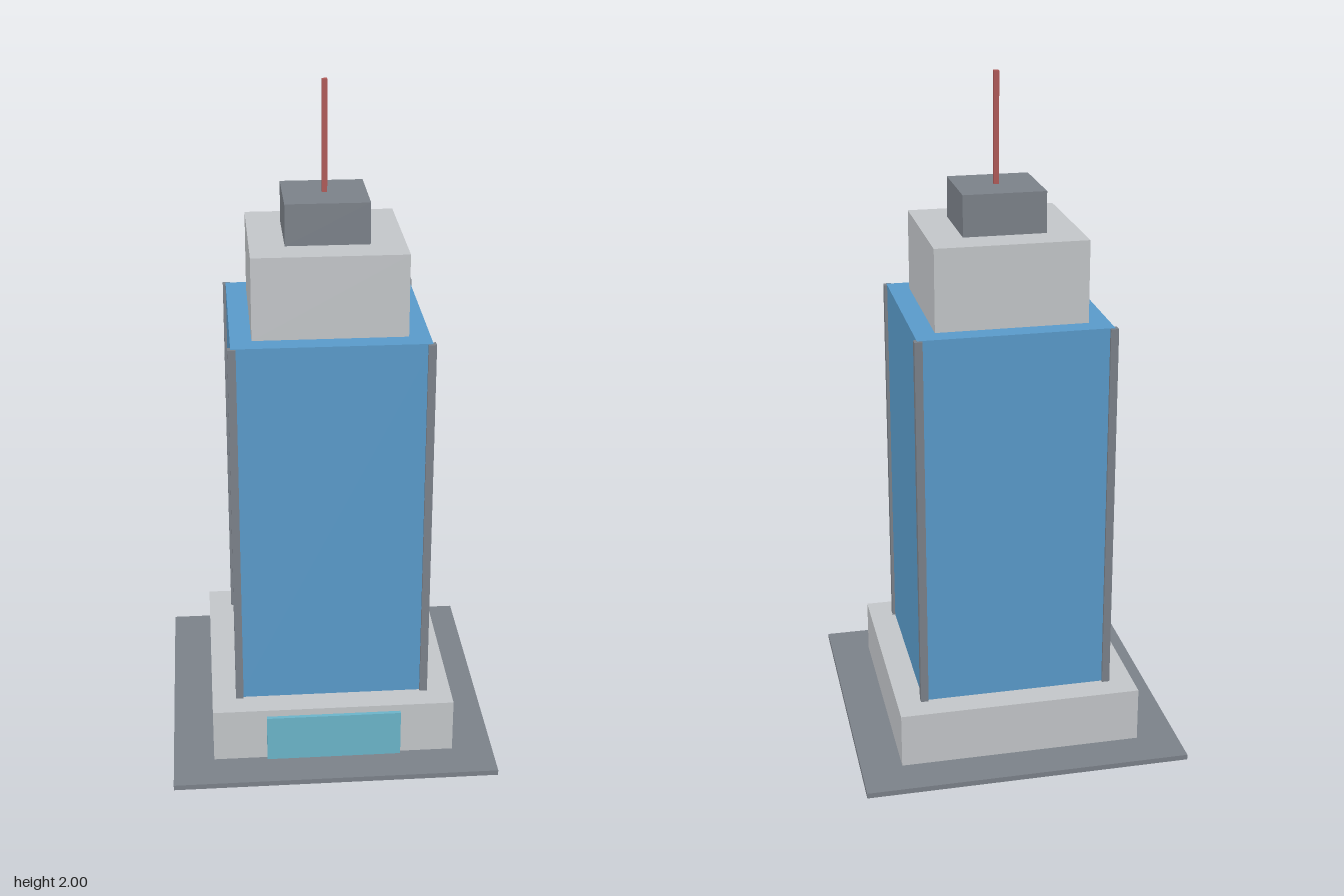
import * as THREE from 'three';

const paint = (name, color) => {
  const m = new THREE.MeshStandardMaterial({ color });
  m.name = name;
  return m;
};

export function createModel() {
  const model = new THREE.Group();
  model.name = 'skyscraper';

  const darkGrey = paint('dark grey', 0x7c828a);
  const paleStone = paint('pale stone', 0xc4c7ca);
  const blueGlass = paint('blue glass', 0x5a9bcb);
  const tealGlass = paint('teal glass', 0x6cb5ca);
  const red = paint('mast red', 0xb05a58);

  // Box standing from height y0 to y1
  const block = (name, material, width, depth, y0, y1, x = 0, z = 0) => {
    const mesh = new THREE.Mesh(new THREE.BoxGeometry(width, y1 - y0, depth), material);
    mesh.position.set(x, (y0 + y1) / 2, z);
    mesh.name = name;
    model.add(mesh);
  };

  // Stacked, stepped body
  block('plaza', darkGrey, 0.97, 0.97, 0, 0.016);
  block('podium', paleStone, 0.726, 0.726, 0.016, 0.182);
  block('tower', blueGlass, 0.566, 0.566, 0.182, 1.315);
  block('crown', paleStone, 0.444, 0.444, 1.315, 1.557);
  block('roofCap', darkGrey, 0.242, 0.242, 1.557, 1.678);
  block('mast', red, 0.015, 0.015, 1.678, 2);

  // Entrance on the front of the podium
  block('entrance', tealGlass, 0.404, 0.03, 0.016, 0.161, 0, 0.36);

  // Corner posts, wrapped around the tower edges
  for (const sx of [-1, 1])
    for (const sz of [-1, 1])
      block('cornerPost', darkGrey, 0.023, 0.023, 0.182, 1.314, sx * 0.28, sz * 0.28);

  return model;
}
